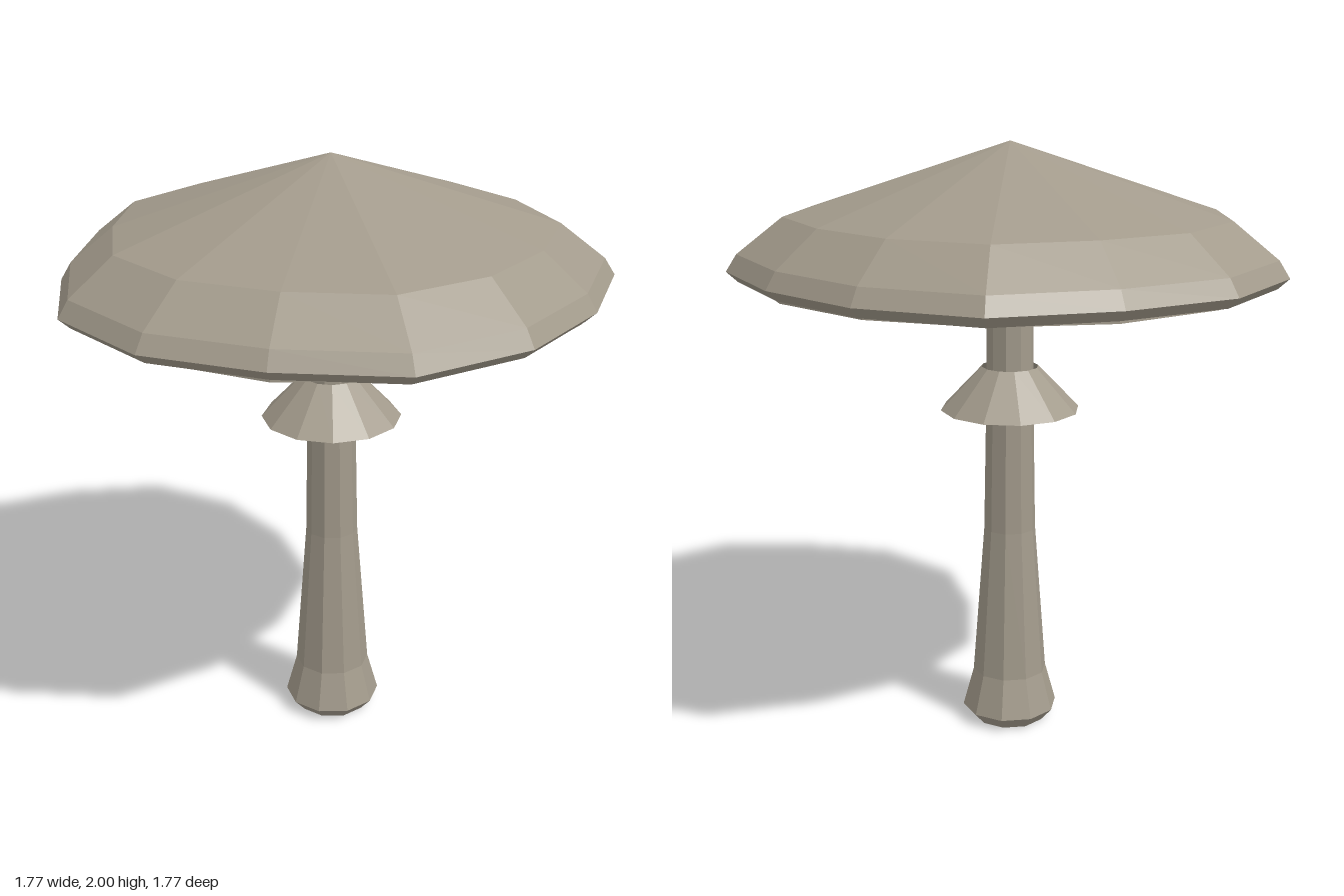
import * as THREE from 'three';

const AXIS_X = -0.027;

// Faceted solid of revolution, profile listed from bottom to top, first corner on +x
function facetedLathe(profile, sides, wobble = 0) {
  const points = profile.map(([r, y]) => new THREE.Vector2(r, y));
  const lathe = new THREE.LatheGeometry(points, sides, Math.PI / 2);
  const pos = lathe.attributes.position;
  // Gently uneven outline with five bulges
  for (let i = 0; i < pos.count; i++) {
    const x = pos.getX(i), z = pos.getZ(i);
    const k = 1 + wobble * Math.cos(5 * Math.atan2(z, x));
    pos.setX(i, x * k);
    pos.setZ(i, z * k);
  }
  const flat = lathe.toNonIndexed();
  flat.computeVertexNormals();
  return flat;
}

export function createModel() {
  const model = new THREE.Group();
  model.name = 'mushroom';

  const stone = new THREE.MeshStandardMaterial({ color: 0xa39b8c });
  stone.name = 'greyBeige';
  const stoneThin = new THREE.MeshStandardMaterial({ color: 0xa39b8c, side: THREE.DoubleSide });
  stoneThin.name = 'greyBeigeThin';

  const add = (name, geometry, material = stone) => {
    const mesh = new THREE.Mesh(geometry, material);
    mesh.name = name;
    mesh.position.x = AXIS_X;
    model.add(mesh);
  };

  // Stem with a swollen foot
  add('stem', facetedLathe([
    [0, 0], [0.125, 0], [0.164, 0.045], [0.127, 0.18], [0.088, 0.7],
    [0.08, 1.15], [0.078, 1.545], [0.07, 1.557], [0, 1.557],
  ], 10));

  // Flared skirt around the stem, open below
  add('skirt', facetedLathe([[0.233, 1.12], [0.095, 1.265]], 12), stoneThin);

  // Wide cap with an uneven rim
  add('cap', facetedLathe([
    [0, 1.566], [0.85, 1.566], [0.886, 1.6], [0.852, 1.655], [0.708, 1.77], [0, 2],
  ], 14, 0.03));

  // Flat gill disc under the cap
  add('gills', facetedLathe([[0, 1.558], [0.826, 1.558], [0.826, 1.566]], 14));

  return model;
}
